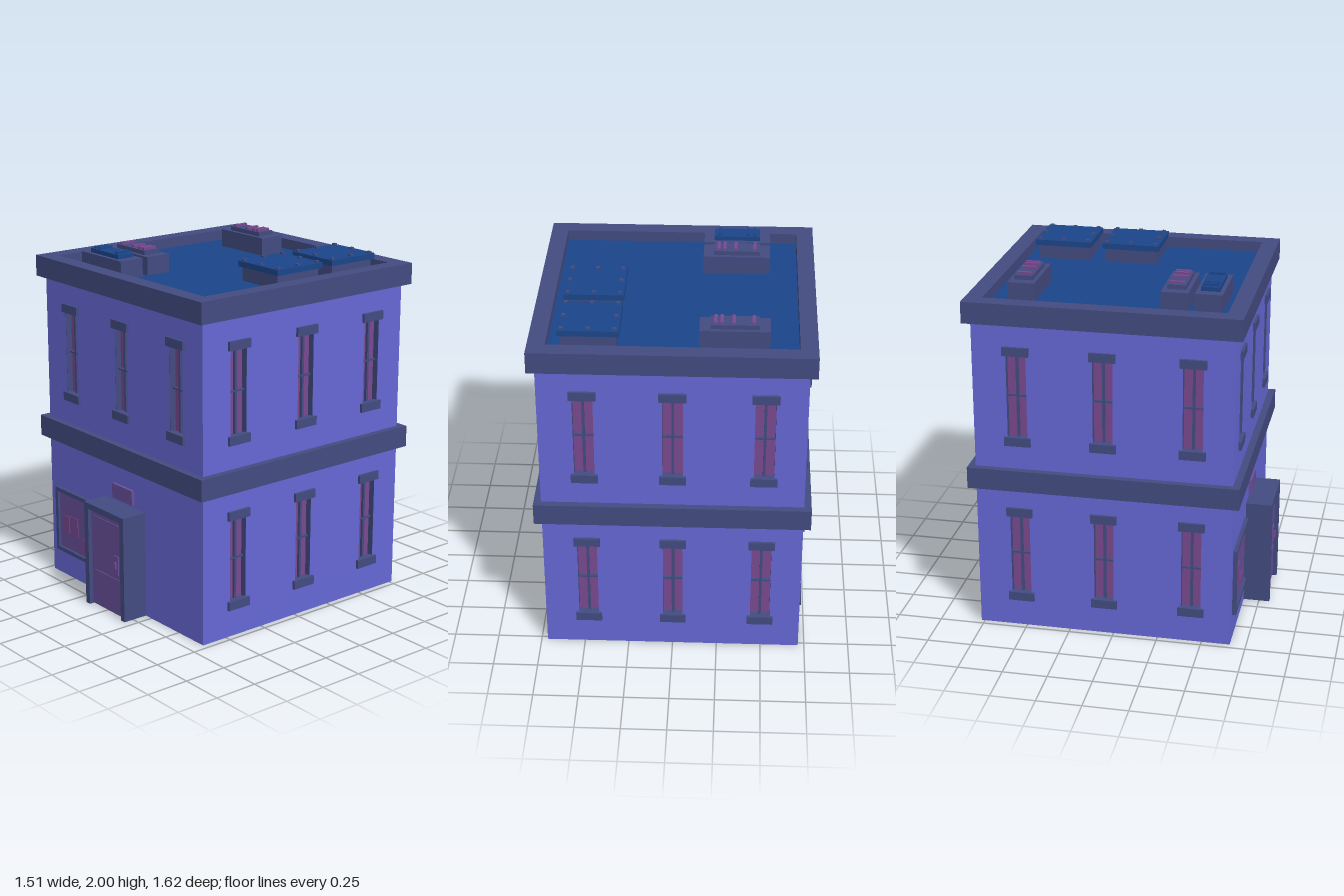
import * as THREE from 'three';

const mat = (color, side = THREE.FrontSide) => new THREE.MeshStandardMaterial({ color, side });
const M = {
  wall: mat(0x6668d6, THREE.DoubleSide),
  trim: mat(0x434b80),
  roof: mat(0x1b468a, THREE.DoubleSide),
  glass: mat(0x7a4990),
  door: mat(0x68509c),
};
const CZ = -0.055;   // centre of the house in z
const HALF = 0.715;  // half width of the walls

function add(parent, name, geometry, material) {
  const mesh = new THREE.Mesh(geometry, material);
  mesh.name = name;
  parent.add(mesh);
  return mesh;
}

// Box given by its limits on each axis
function box(parent, name, material, x0, x1, y0, y1, z0, z1) {
  const mesh = add(parent, name, new THREE.BoxGeometry(x1 - x0, y1 - y0, z1 - z0), material);
  mesh.position.set((x0 + x1) / 2, (y0 + y1) / 2, (z0 + z1) / 2);
  return mesh;
}

function rect(Type, x0, x1, y0, y1) {
  const s = new Type();
  s.moveTo(x0, y0);
  s.lineTo(x1, y0);
  s.lineTo(x1, y1);
  s.lineTo(x0, y1);
  s.closePath();
  return s;
}

// Rectangular frame in the xy plane, t thick, running from z = 0 to depth
function frameGeometry(x0, x1, y0, y1, t, depth) {
  const s = rect(THREE.Shape, x0, x1, y0, y1);
  s.holes.push(rect(THREE.Path, x0 + t, x1 - t, y0 + t, y1 - t));
  return new THREE.ExtrudeGeometry(s, { depth, bevelEnabled: false });
}

// Recessed window with crossed bars, sill and lintel; y0 is the bottom of the opening
function addWindow(parent, x, y0) {
  const w = new THREE.Group();
  w.name = 'window';
  w.position.set(x, y0, HALF);
  const h = 0.48, r = 0.055;
  const reveal = add(w, 'windowReveal', frameGeometry(-r - 0.005, r + 0.005, -0.005, h + 0.005, 0.005, 0.042), M.trim);
  reveal.position.z = -0.043;
  box(w, 'windowPane', M.glass, -r, r, 0, h, -0.05, -0.038);
  box(w, 'verticalBar', M.trim, -0.007, 0.007, 0, h, -0.038, -0.022);
  box(w, 'crossBar', M.trim, -r, r, h / 2 - 0.005, h / 2 + 0.005, -0.038, -0.022);
  box(w, 'windowSill', M.trim, -0.073, 0.073, -0.045, 0.005, -0.02, 0.016);
  box(w, 'windowLintel', M.trim, -0.073, 0.073, h - 0.005, h + 0.045, -0.02, 0.016);
  parent.add(w);
}

// One side of the house, with openings cut for its windows
function addWall(parent, name, floors) {
  const side = new THREE.Group();
  side.name = name;
  const shape = rect(THREE.Shape, -HALF, HALF, 0, 1.86);
  for (const y of floors) {
    for (const x of [-0.472, 0.002, 0.492]) {
      shape.holes.push(rect(THREE.Path, x - 0.055, x + 0.055, y, y + 0.48));
      addWindow(side, x, y);
    }
  }
  add(side, 'wall', new THREE.ShapeGeometry(shape), M.wall).position.z = HALF;
  parent.add(side);
  return side;
}

// Square band around the house
function addBand(parent, name, y, height) {
  const R = 0.755;
  const band = add(parent, name, frameGeometry(-R, R, -R, R, 0.095, height), M.trim);
  band.rotation.x = -Math.PI / 2;
  band.position.y = y;
}

function addEntrance(g) {
  const door = new THREE.Group();
  door.name = 'entrance';
  // Porch box, open at the front around the door
  add(door, 'doorFrame', (() => {
    const s = new THREE.Shape();
    [[-0.17, 0], [-0.17, 0.615], [0.2, 0.615], [0.2, 0], [0.165, 0], [0.165, 0.58], [-0.135, 0.58], [-0.135, 0]]
      .forEach(([x, y], i) => (i ? s.lineTo(x, y) : s.moveTo(x, y)));
    return new THREE.ExtrudeGeometry(s, { depth: 0.15, bevelEnabled: false });
  })(), M.trim).position.z = 0.66;
  box(door, 'doorLeaf', M.door, -0.135, 0.165, 0.005, 0.58, 0.765, 0.785);
  box(door, 'upperDoorPanel', M.door, -0.105, 0.14, 0.39, 0.545, 0.785, 0.79);
  box(door, 'lowerDoorPanel', M.door, -0.105, 0.14, 0.03, 0.22, 0.785, 0.79);
  box(door, 'handlePlate', M.door, 0.085, 0.122, 0.25, 0.36, 0.785, 0.793);
  box(door, 'handle', M.glass, 0.097, 0.11, 0.285, 0.325, 0.793, 0.805);
  box(door, 'plaqueAboveDoor', M.door, -0.08, 0.105, 0.635, 0.72, 0.655, 0.678);
  g.add(door);
}

function addNoticeBoard(g) {
  const board = new THREE.Group();
  board.name = 'noticeBoard';
  add(board, 'boardFrame', frameGeometry(-0.65, -0.215, 0.152, 0.545, 0.023, 0.03), M.trim).position.z = 0.652;
  box(board, 'boardPanel', M.door, -0.627, -0.238, 0.175, 0.522, 0.655, 0.666);
  const notes = [[-0.595, -0.53, 0.285, 0.38], [-0.52, -0.445, 0.275, 0.39],
    [-0.33, -0.265, 0.37, 0.5], [-0.402, -0.33, 0.19, 0.275]];
  for (const n of notes) box(board, 'notice', M.glass, ...n, 0.666, 0.67);
  g.add(board);
}

// Low vent box with a stepped top and slats
function addVent(g, z, topMat, slatMat, slats) {
  const v = new THREE.Group();
  v.name = 'roofVent';
  v.position.z = z;
  box(v, 'ventBase', M.trim, -0.507, -0.135, 1.85, 1.963, -0.075, 0.075);
  box(v, 'ventTop', topMat, -0.45, -0.192, 1.963, 1.987, -0.052, 0.052);
  for (const x of slats) box(v, 'ventSlat', slatMat, x - 0.009, x + 0.009, 1.987, 2, -0.042, 0.042);
  g.add(v);
}

// Roof hatch: lid on a narrower curb, bolted round the edge
function addHatch(g, z) {
  const h = new THREE.Group();
  h.name = 'roofHatch';
  h.position.set(0.442, 0, z);
  box(h, 'hatchCurb', M.trim, -0.147, 0.147, 1.85, 1.94, -0.147, 0.147);
  box(h, 'hatchLid', M.roof, -0.163, 0.163, 1.94, 1.972, -0.163, 0.163);
  for (const i of [-1, 0, 1]) {
    for (const j of [-1, 0, 1]) {
      if (!i && !j) continue;
      const x = i * 0.14, zz = j * 0.14;
      box(h, 'hatchBolt', M.trim, x - 0.01, x + 0.01, 1.972, 1.982, zz - 0.01, zz + 0.01);
    }
  }
  g.add(h);
}

export function createModel() {
  const g = new THREE.Group();
  g.name = 'building';

  // Walls, bands and roof share the house centre
  const house = new THREE.Group();
  house.name = 'house';
  house.position.z = CZ;
  ['frontSide', 'leftSide', 'backSide', 'rightSide'].forEach((name, k) => {
    addWall(house, name, k ? [0.203, 1.147] : [1.147]).rotation.y = k * Math.PI / 2;
  });
  addBand(house, 'middleBand', 0.843, 0.122);
  addBand(house, 'cornice', 1.8, 0.12);
  const roof = add(house, 'roof', new THREE.PlaneGeometry(1.33, 1.33), M.roof);
  roof.rotation.x = -Math.PI / 2;
  roof.position.y = 1.86;
  g.add(house);

  addEntrance(g);
  addNoticeBoard(g);

  // Roof equipment
  addVent(g, -0.545, M.trim, M.glass, [-0.42, -0.315, -0.253, -0.22]);
  addVent(g, 0.295, M.trim, M.glass, [-0.42, -0.315, -0.253, -0.22]);
  addVent(g, 0.478, M.roof, M.roof, [-0.42, -0.383, -0.22]);
  addHatch(g, -0.5);
  addHatch(g, -0.105);
  return g;
}
